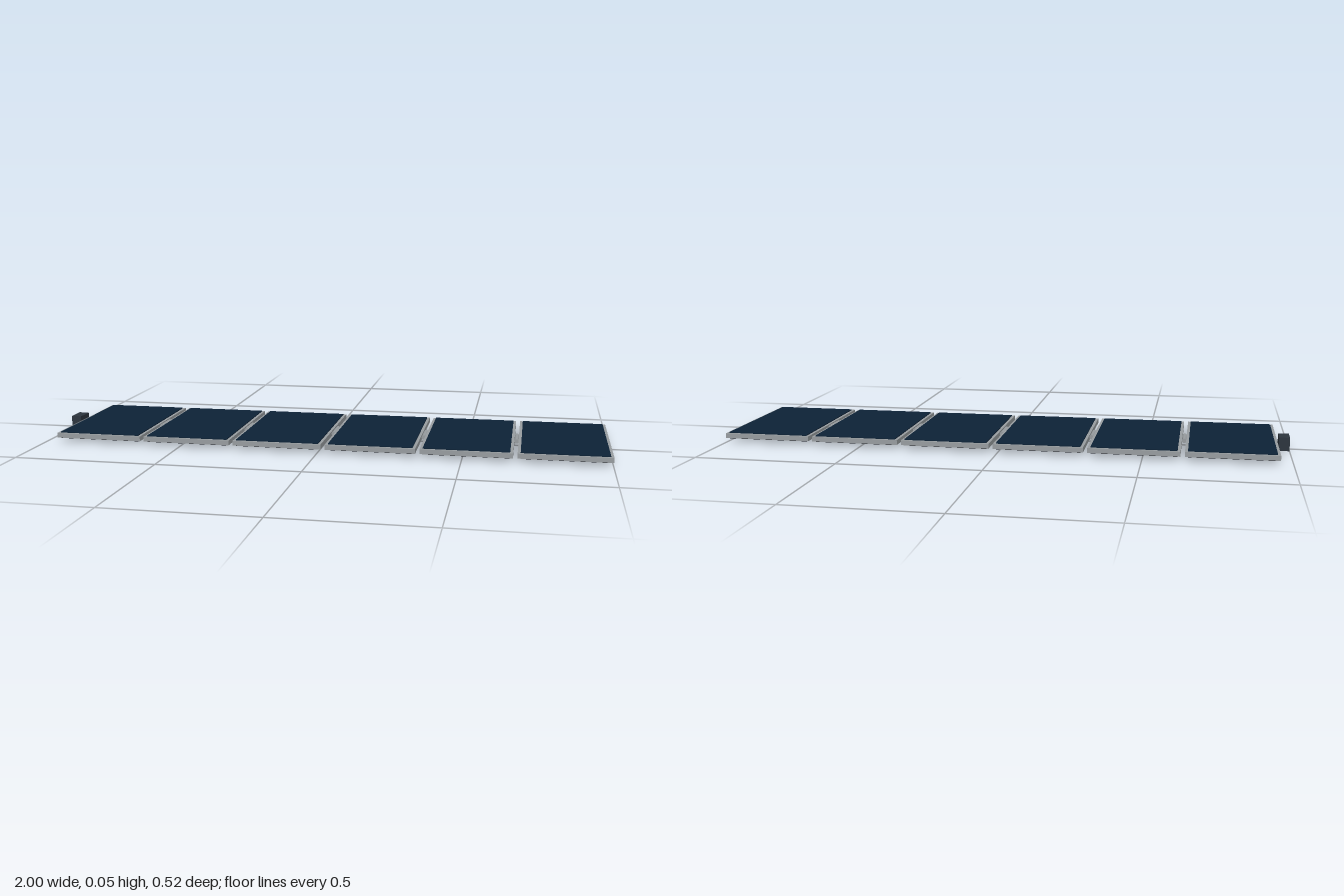
import * as THREE from 'three';

export function createModel() {
  const model = new THREE.Group();
  model.name = 'solarArray';

  const paint = (name, color) => {
    const m = new THREE.MeshStandardMaterial({ color });
    m.name = name;
    return m;
  };
  const frameGrey = paint('frameGrey', 0x989da0);
  const cellBlue = paint('cellBlue', 0x0d2236);
  const backBlack = paint('backBlack', 0x1a1d24);
  const mountGrey = paint('mountGrey', 0x2d353e);

  const add = (parent, name, geometry, material, x, y, z) => {
    const mesh = new THREE.Mesh(geometry, material);
    mesh.name = name;
    mesh.position.set(x, y, z);
    parent.add(mesh);
    return mesh;
  };

  const count = 6, width = 0.314, depth = 0.518, pitch = 0.3286;
  const midY = 0.026, firstX = -0.8, rim = 0.01;

  // Framed panels: raised cell sheet above, dark backing below
  const frame = new THREE.BoxGeometry(width, 0.017, depth);
  const sheet = new THREE.BoxGeometry(width - 2 * rim, 0.004, depth - 2 * rim);
  // Hinge knuckle lying along z in the gap between panels
  const hinge = new THREE.CylinderGeometry(0.008, 0.008, 0.094, 12).rotateX(Math.PI / 2);

  for (let i = 0; i < count; i++) {
    const panel = new THREE.Group();
    panel.name = 'panel' + (i + 1);
    panel.position.set(firstX + i * pitch, midY, 0);
    add(panel, 'frame', frame, frameGrey, 0, 0, 0);
    add(panel, 'cellSheet', sheet, cellBlue, 0, 0.0098, 0);
    add(panel, 'backSheet', sheet, backBlack, 0, -0.0098, 0);
    model.add(panel);
    if (i < count - 1) add(model, 'hinge', hinge, frameGrey, firstX + (i + 0.5) * pitch, midY, 0);
  }

  // Mounting block at the root of the array
  add(model, 'mountBlock', new THREE.BoxGeometry(0.037, 0.048, 0.072), mountGrey, -0.9815, 0.024 + 0.001, 0);

  return model;
}
